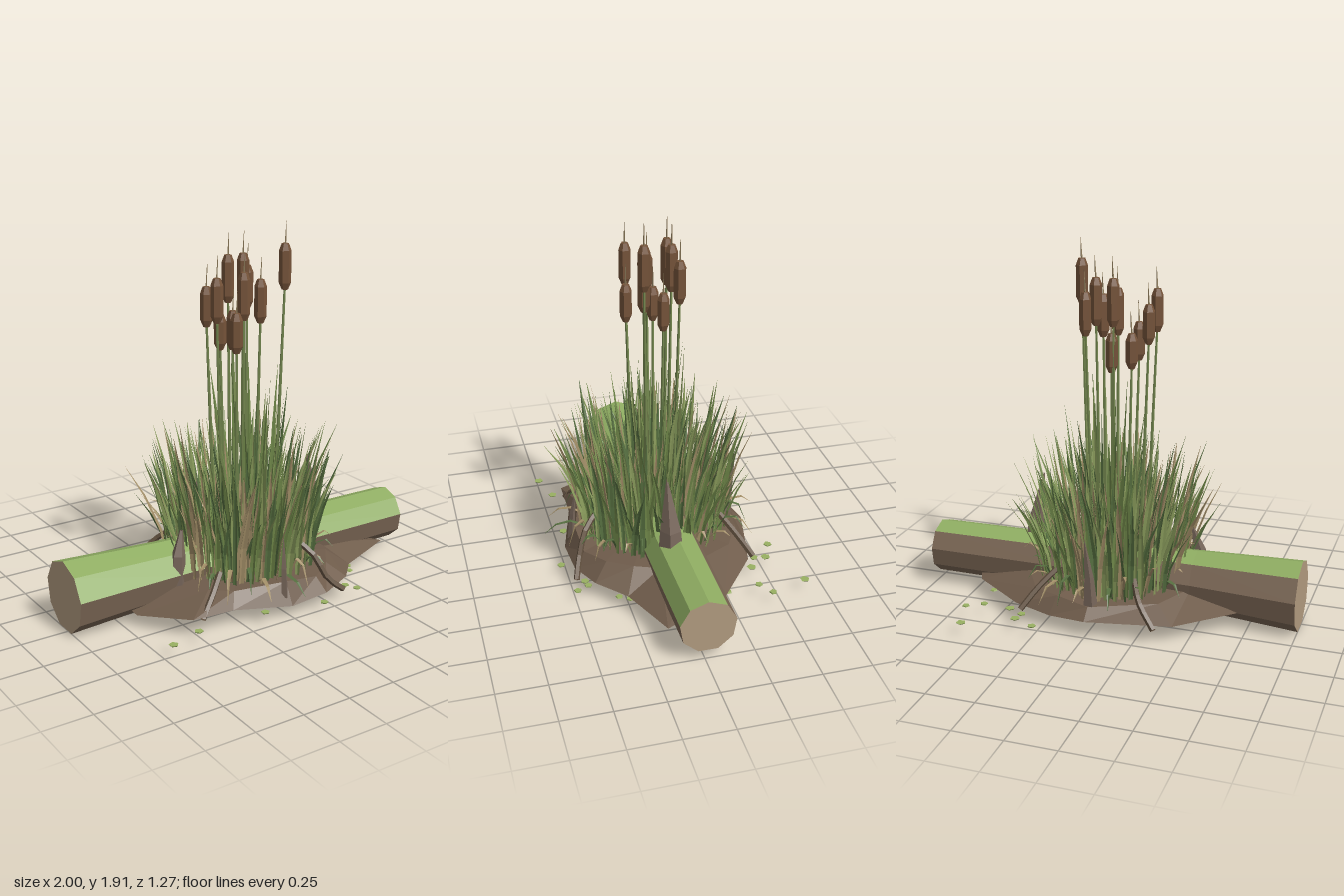
import * as THREE from 'three';
import { mergeGeometries } from 'three/addons/utils/BufferGeometryUtils.js';

let seed = 7;
const rnd = (a = 0, b = 1) => {
  seed = (seed * 16807) % 2147483647;
  return a + (b - a) * (seed / 2147483647);
};

const mat = (color) => new THREE.MeshStandardMaterial({ color, flatShading: true, side: THREE.DoubleSide });

// Skin between successive rings of [x,y,z] points; faces lists which sides to build
function loft(rings, faces) {
  const p = [];
  const n = rings[0].length;
  const sides = faces || rings[0].map((_, i) => i);
  for (let i = 0; i + 1 < rings.length; i++) {
    for (const k of sides) {
      const j = (k + 1) % n, A = rings[i], B = rings[i + 1];
      p.push(...A[k], ...A[j], ...B[j], ...A[k], ...B[j], ...B[k]);
    }
  }
  const g = new THREE.BufferGeometry();
  g.setAttribute('position', new THREE.Float32BufferAttribute(p, 3));
  g.computeVertexNormals();
  return g;
}

// Upright tapered piece: stations are [x, y, z, radius]
const taper = (stations, sides) => loft(stations.map(([x, y, z, r]) =>
  Array.from({ length: sides }, (_, k) => {
    const a = (k / sides) * Math.PI * 2;
    return [x + r * Math.sin(a), y, z + r * Math.cos(a)];
  })));

// Folded leaf blade leaning along angle a, with optional droop
function blade(x, y, z, a, height, reach, width, droop, twist) {
  const ox = Math.sin(a), oz = Math.cos(a);
  const wx = Math.cos(a + twist), wz = -Math.sin(a + twist);
  const rings = [[0, 0.75], [0.35, 1], [0.7, 0.7], [1, 0.03]].map(([t, s]) => {
    const d = reach * (droop ? t : Math.pow(t, 1.7));
    const cx = x + ox * d, cz = z + oz * d;
    const cy = y + height * t - droop * t * t;
    const w = (width * s) / 2, f = w * 0.5;
    return [
      [cx - wx * w, cy, cz - wz * w],
      [cx + wz * f, cy, cz - wx * f],
      [cx + wx * w, cy, cz + wz * w],
    ];
  });
  return loft(rings, [0, 1]);
}

export function createModel() {
  seed = 7;
  const model = new THREE.Group();
  const add = (name, geo, color) => {
    const m = new THREE.Mesh(geo, mat(color));
    m.name = name;
    model.add(m);
    return m;
  };

  // Fallen log: nine sides, mossy on top, pale cut ends
  const ring = ([x, y, z, r]) => Array.from({ length: 9 }, (_, k) => {
    const a = (k / 9) * Math.PI * 2;
    return [x, y + r * Math.cos(a), z + r * Math.sin(a)];
  });
  const stations = [[-1, 0.174, -0.03, 0.185], [-0.45, 0.18, -0.015, 0.157],
    [0.2, 0.182, -0.015, 0.148], [1, 0.182, -0.016, 0.142]];
  const logRings = stations.map(ring);
  add('logMoss', loft(logRings, [8, 0, 1]), 0x8fad62);
  add('logBark', loft(logRings, [2, 3, 4, 5, 6, 7]), 0x7a6654);
  const centre = ([x, y, z]) => Array.from({ length: 9 }, () => [x, y, z]);
  add('logEnds', mergeGeometries([
    loft([centre(stations[0]), logRings[0]]),
    loft([logRings[3], centre(stations[3])]),
  ]), 0xb39c80);

  // Mud mound: angular rim, raised top, flat underside
  const outline = [[0, 0.48], [0.22, 0.47], [0.4, 0.4], [0.53, 0.26], [0.85, 0.14], [0.69, -0.19],
    [0.4, -0.41], [0.2, -0.46], [0, -0.5], [-0.43, -0.41], [-0.7, -0.18], [-0.7, 0.15], [-0.53, 0.4], [-0.3, 0.4]];
  const low = [], rim = [], top = [];
  for (const [x, z] of outline) {
    const s = Math.min(0.88, 0.46 / Math.hypot(x, z));
    low.push([x * 0.72, 0.03, z * 0.72]);
    rim.push([x, rnd(0.06, 0.1), z]);
    top.push([x * s, rnd(0.14, 0.175), z * s]);
  }
  const dot = (y) => outline.map(() => [0, y, 0]);
  add('mudMound', loft([dot(0.03), low, rim, top, dot(0.19)]), 0x6f5c4b);

  // Broken woody stubs and creeping roots
  add('stubs', mergeGeometries([
    taper([[0.46, 0.2, 0.02, 0.07], [0.45, 0.38, 0.02, 0.055], [0.41, 0.65, 0.03, 0.003]], 5),
    taper([[-0.44, 0.12, 0.1, 0.05], [-0.43, 0.3, 0.1, 0.035], [-0.4, 0.42, 0.08, 0.008]], 5),
    taper([[-0.02, 0.1, 0.44, 0.02], [-0.02, 0.25, 0.43, 0.015], [-0.01, 0.4, 0.41, 0.002]], 4),
    taper([[0, 0.12, -0.4, 0.04], [0, 0.3, -0.42, 0.025], [0.01, 0.5, -0.45, 0.003]], 5),
  ]), 0x77665a);
  const root = (...pts) => new THREE.TubeGeometry(
    new THREE.CatmullRomCurve3(pts.map((p) => new THREE.Vector3(...p))), 6, 0.016, 5);
  add('roots', mergeGeometries([
    root([0.12, 0.34, 0.32], [0.18, 0.27, 0.4], [0.24, 0.14, 0.45], [0.32, 0.07, 0.48]),
    root([-0.3, 0.24, 0.28], [-0.38, 0.17, 0.34], [-0.47, 0.08, 0.39]),
    root([0.2, 0.28, -0.3], [0.29, 0.18, -0.38], [0.36, 0.08, -0.45]),
    root([-0.2, 0.26, -0.3], [-0.26, 0.18, -0.4], [-0.35, 0.08, -0.46]),
  ]), 0x665442);

  // Grass clump, sorted by leaf colour
  const leaves = [
    { name: 'midGreenLeaves', color: 0x71894a, geos: [] },
    { name: 'darkGreenLeaves', color: 0x566f40, geos: [] },
    { name: 'lightGreenLeaves', color: 0x8a9c5c, geos: [] },
    { name: 'dryLeaves', color: 0xa38f68, geos: [] },
  ];
  for (let i = 0; i < 430; i++) {
    const a = i * 2.39996;
    const r = 0.39 * Math.sqrt((i + 0.5) / 430);
    const height = rnd(0.36, 0.78) * (1.05 - r * 0.45);
    const reach = rnd(0.02, 0.07) + r * rnd(0.05, 0.42);
    const pick = rnd();
    const kind = pick < 0.34 ? 0 : pick < 0.62 ? 1 : pick < 0.83 ? 2 : 3;
    leaves[kind].geos.push(blade(r * Math.sin(a), 0.15, r * Math.cos(a),
      a + rnd(-0.6, 0.6), height, reach, rnd(0.018, 0.036), 0, rnd(-0.9, 0.9)));
  }
  // Tall inner leaves
  for (let i = 0; i < 22; i++) {
    const a = i * 2.4, r = rnd(0.02, 0.16);
    leaves[i % 3].geos.push(blade(0.06 + r * Math.sin(a), 0.16, 0.03 + r * Math.cos(a),
      a, rnd(0.72, 1.08), rnd(0.02, 0.1), 0.028, 0, rnd(-1, 1)));
  }
  // Outer leaves arching out and down
  for (let i = 0; i < 30; i++) {
    const a = (i / 30) * Math.PI * 2 + rnd(-0.1, 0.1);
    const along = Math.abs(Math.sin(a));
    const height = rnd(0.2, 0.5);
    leaves[i % 2 ? 3 : 1].geos.push(blade(0.36 * Math.sin(a), 0.17, 0.36 * Math.cos(a),
      a, height, rnd(0.14, 0.28) * (1 - along * 0.5), 0.024, height * rnd(0.5, 1.15), rnd(-0.3, 0.3)));
  }
  for (const { name, color, geos } of leaves) add(name, mergeGeometries(geos), color);

  // Reed heads: [x, z, bottom, top] on thin stems with a fine spike
  const reeds = [[-0.19, 0.09, 1.45, 1.67], [-0.18, -0.02, 1.41, 1.61], [-0.095, -0.03, 1.28, 1.46],
    [-0.09, 0.11, 1.29, 1.49], [-0.015, -0.08, 1.5, 1.74], [0, 0.04, 1.43, 1.67], [0, -0.06, 1.26, 1.46],
    [0.075, -0.08, 1.5, 1.74], [0.085, 0.06, 1.41, 1.63], [0.12, -0.11, 1.45, 1.67], [0.21, 0.09, 1.57, 1.8]];
  const stems = [], heads = [], spikes = [];
  for (const [x, z, b, t] of reeds) {
    stems.push(taper([[x * 0.75, 0.16, z * 0.75, 0.011], [x * 0.88, 0.8, z * 0.88, 0.009], [x, b + 0.02, z, 0.006]], 5));
    heads.push(taper([[x, b, z, 0], [x, b, z, 0.016], [x, b + 0.035, z, 0.031],
      [x, t - 0.035, z, 0.031], [x, t, z, 0.018], [x, t, z, 0]], 6));
    spikes.push(taper([[x, t - 0.01, z, 0.005], [x + 0.006, t + 0.11, z, 0.001]], 4));
  }
  add('reedStems', mergeGeometries(stems), 0x74874f);
  add('reedHeads', mergeGeometries(heads), 0x76543a);
  add('reedSpikes', mergeGeometries(spikes), 0x8d7b5a);

  // Floating five-sided leaf flecks
  const flecks = [[0.6, -0.65], [0.66, -0.46], [0.58, -0.41], [0.25, -0.57], [0.36, -0.52], [0.35, -0.46],
    [0.43, -0.42], [0.6, -0.24], [-0.7, 0.5], [-0.53, 0.45], [0.16, 0.53], [0.33, 0.44], [0.37, 0.43],
    [0.4, 0.49], [0.5, 0.3], [0.53, 0.25], [-0.15, 0.46]];
  add('floatingFlecks', mergeGeometries(flecks.map(([x, z]) =>
    new THREE.CylinderGeometry(rnd(0.016, 0.026), 0.02, 0.006, 5).rotateY(rnd(0, 6)).translate(x, 0.06, z))), 0x98b062);

  return model;
}
